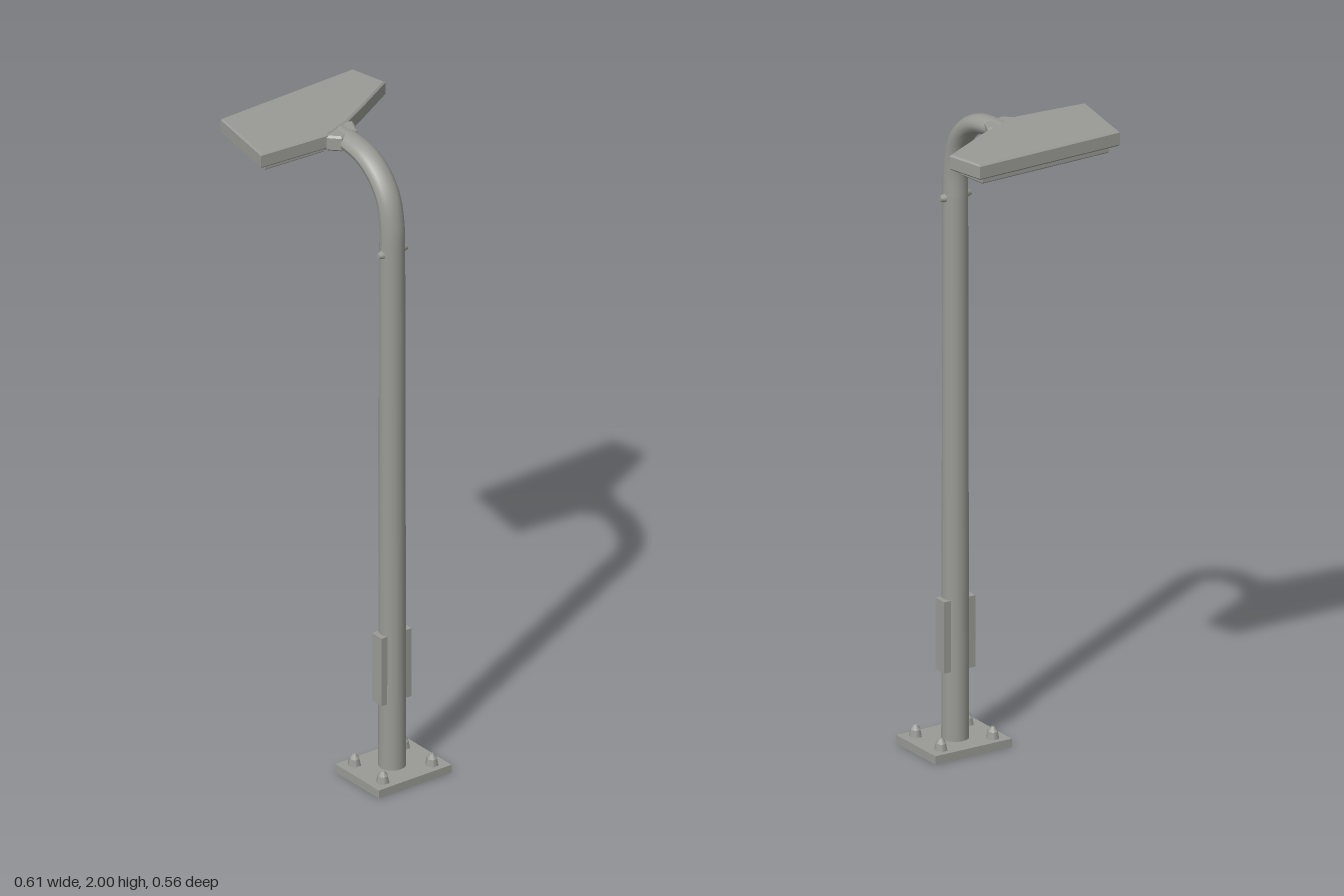
import * as THREE from 'three';

const POLE_X = 0.2, POLE_Z = -0.01;

export function createModel() {
  const model = new THREE.Group();
  const metal = new THREE.MeshStandardMaterial({ color: 0x9a9b95 });
  metal.name = 'grey metal';

  function add(name, geometry, x = 0, y = 0, z = 0) {
    const mesh = new THREE.Mesh(geometry, metal);
    mesh.name = name;
    mesh.position.set(x, y, z);
    model.add(mesh);
    return mesh;
  }

  // Horizontal slab from an outline of [x, z] corners, between two heights
  function slab(name, outline, y0, y1, bevel) {
    const shape = new THREE.Shape(outline.map(([x, z]) => new THREE.Vector2(x, -z)));
    const geometry = new THREE.ExtrudeGeometry(shape, {
      depth: y1 - y0 - 2 * bevel, bevelEnabled: bevel > 0,
      bevelThickness: bevel, bevelSize: bevel, bevelOffset: -bevel, bevelSegments: 1,
    });
    geometry.rotateX(-Math.PI / 2);
    return add(name, geometry, 0, y0 + bevel, 0);
  }

  // Base plate with four anchor bolts
  add('basePlate', new THREE.BoxGeometry(0.207, 0.026, 0.263), 0.203, 0.013, -0.012);
  for (const x of [0.135, 0.27]) {
    for (const z of [-0.101, 0.077]) {
      add('anchorBolt', new THREE.CylinderGeometry(0.016, 0.021, 0.022, 6), x, 0.036, z);
      add('anchorBoltTip', new THREE.CylinderGeometry(0.006, 0.016, 0.014, 6), x, 0.054, z);
    }
  }

  // Straight pole
  add('pole', new THREE.CylinderGeometry(0.038, 0.041, 1.68, 16, 1, true), POLE_X, 0.86, POLE_Z);

  // Curved arm, flattened towards the lamp head
  const path = new THREE.CatmullRomCurve3([
    [0.2, 1.69], [0.199, 1.78], [0.181, 1.86], [0.14, 1.917],
    [0.08, 1.955], [0.01, 1.969], [-0.06, 1.972],
  ].map(([x, y]) => new THREE.Vector3(x, y, POLE_Z)));
  const rings = 28, sides = 16;
  const arm = new THREE.TubeGeometry(path, rings, 0.038, sides);
  const pos = arm.attributes.position;
  for (let i = 0; i <= rings; i++) {
    const c = path.getPointAt(i / rings);
    const k = 1 - 0.32 * (i / rings);
    for (let j = 0; j <= sides; j++) {
      const n = i * (sides + 1) + j;
      pos.setXY(n, c.x + (pos.getX(n) - c.x) * k, c.y + (pos.getY(n) - c.y) * k);
    }
  }
  arm.computeVertexNormals();
  add('arm', arm);

  // Access covers low on the pole and fixing screws at the arm joint
  for (const side of [-1, 1]) {
    add('accessCover', new THREE.BoxGeometry(0.046, 0.22, 0.03), 0.198, 0.35, POLE_Z + side * 0.039);
    const screw = add('jointScrew', new THREE.CylinderGeometry(0.009, 0.016, 0.022, 6),
      POLE_X, 1.695, POLE_Z + side * 0.041);
    screw.rotation.x = side * Math.PI / 2;
  }

  // Lamp head: slanted housing and lower lens panel
  slab('lampHousing', [
    [-0.308, -0.255], [-0.188, -0.282], [-0.1, -0.125], [-0.062, -0.05],
    [-0.027, 0.05], [-0.045, 0.278], [-0.293, 0.235],
  ], 1.953, 2, 0.005);
  slab('lensPanel', [
    [-0.285, -0.232], [-0.195, -0.245], [-0.115, -0.11],
    [-0.052, 0.045], [-0.065, 0.248], [-0.272, 0.212],
  ], 1.93, 1.956, 0.004);

  // Flared bracket joining arm and housing
  slab('bracket', [
    [-0.06, -0.067], [-0.01, -0.045], [0.006, 0.024], [-0.026, 0.055], [-0.09, 0.01],
  ], 1.947, 1.996, 0.006);

  return model;
}
